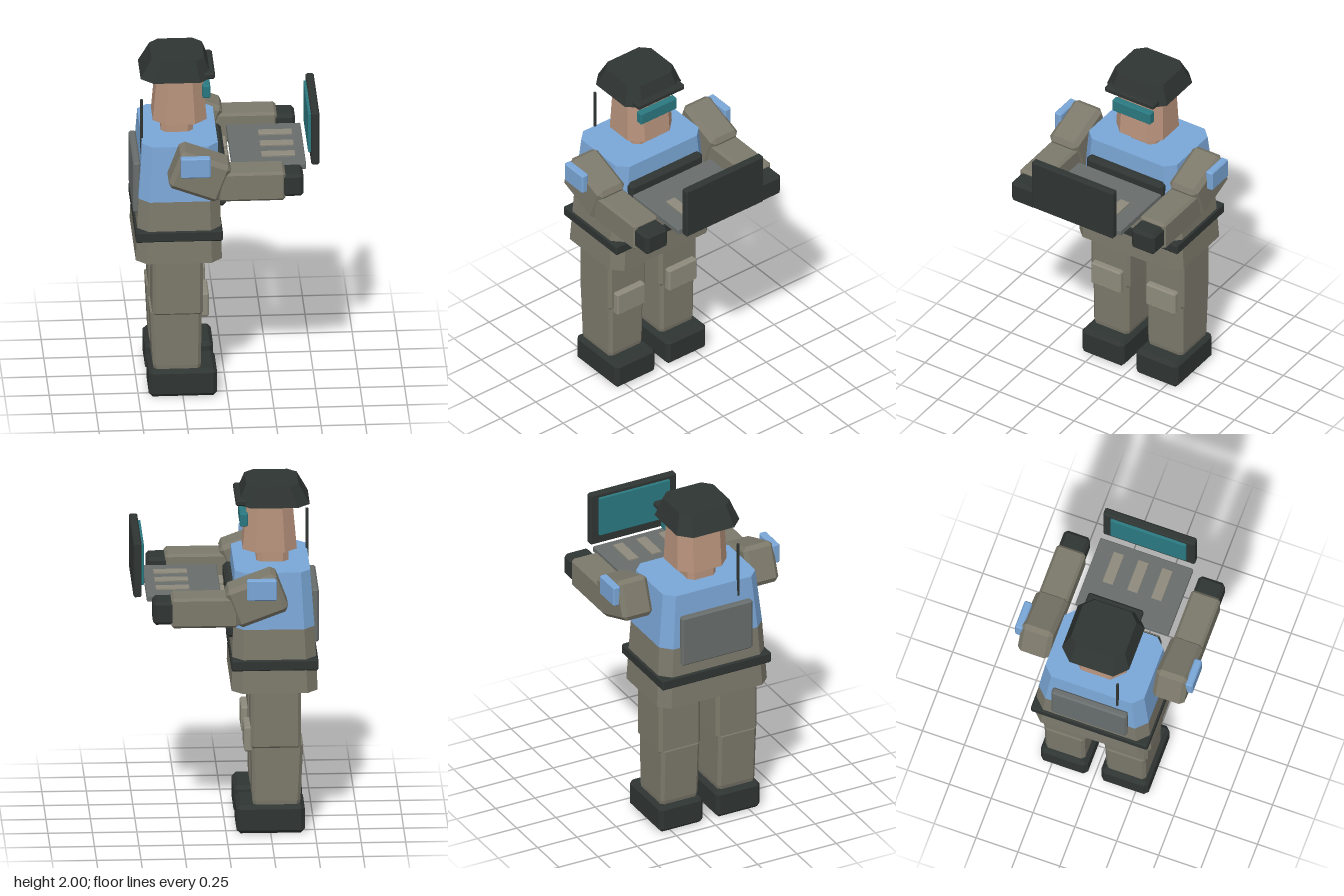
import * as THREE from 'three';
import { ConvexGeometry } from 'three/addons/geometries/ConvexGeometry.js';

const mat = (color) => new THREE.MeshStandardMaterial({ color, flatShading: true });
const cloth = mat(0x7c796b), dark = mat(0x2f3533), blue = mat(0x7aa6d6), skin = mat(0xb8937c);
const teal = mat(0x2a7880), grey = mat(0x686e6d), pouchMat = mat(0x8e8a7c);

// Box between two limits on each axis, with all edges chamfered by c
function bevelBox([x0, x1], [y0, y1], [z0, z1], c) {
  const pts = [];
  for (const i of [0, 1]) for (const j of [0, 1]) for (const k of [0, 1]) {
    const p = [i ? x1 : x0, j ? y1 : y0, k ? z1 : z0];
    const inset = [i ? x1 - c : x0 + c, j ? y1 - c : y0 + c, k ? z1 - c : z0 + c];
    for (let a = 0; a < 3; a++) {
      const q = inset.slice();
      q[a] = p[a];
      pts.push(new THREE.Vector3(...q));
    }
  }
  return new ConvexGeometry(pts);
}

// Tapered block with cut vertical corners; a section is [y, x0, x1, z0, z1, cut]
function taper(...sections) {
  const pts = [];
  for (const [y, x0, x1, z0, z1, c] of sections) {
    for (const [x, sx] of [[x0, 1], [x1, -1]]) for (const [z, sz] of [[z0, 1], [z1, -1]]) {
      pts.push(new THREE.Vector3(x + sx * c, y, z), new THREE.Vector3(x, y, z + sz * c));
    }
  }
  return new ConvexGeometry(pts);
}

export function createModel() {
  const model = new THREE.Group();
  model.name = 'soldierWithConsole';
  const add = (name, geometry, material, parent = model) => {
    const mesh = new THREE.Mesh(geometry, material);
    mesh.name = name;
    parent.add(mesh);
    return mesh;
  };
  const box = (name, x, y, z, c, material, parent) => add(name, bevelBox(x, y, z, c), material, parent);

  // Torso and belt
  add('lowerTorso', taper([0.84, -0.515, -0.03, -0.35, 0.35, 0.06],
    [1.21, -0.498, -0.04, -0.328, 0.328, 0.06]), cloth);
  add('upperTorso', taper([1.21, -0.498, -0.04, -0.328, 0.328, 0.06],
    [1.535, -0.475, -0.05, -0.295, 0.295, 0.055]), blue);
  box('belt', [-0.517, -0.028], [0.97, 1.035], [-0.348, 0.348], 0.008, dark);

  // Neck, head, visor and helmet
  add('neck', taper([1.5, -0.36, -0.18, -0.09, 0.09, 0.03], [1.64, -0.36, -0.18, -0.09, 0.09, 0.03]), skin);
  add('head', taper([1.61, -0.407, -0.103, -0.157, 0.157, 0.07],
    [1.92, -0.38, -0.13, -0.147, 0.147, 0.06]), skin);
  box('visor', [-0.13, -0.085], [1.755, 1.832], [-0.128, 0.128], 0.006, teal);
  add('helmet', taper([1.885, -0.478, -0.075, -0.2, 0.2, 0.07],
    [2.0, -0.415, -0.12, -0.16, 0.16, 0.05]), dark);
  box('helmetBrim', [-0.13, -0.06], [1.886, 1.925], [-0.165, 0.165], 0.01, dark);

  // Back plate and antenna
  box('backPlate', [-0.525, -0.483], [1.1, 1.41], [-0.225, 0.225], 0.01, grey);
  box('antenna', [-0.482, -0.467], [1.2, 1.77], [0.148, 0.163], 0.002, dark);

  // Chest rig with three pouches
  box('chestRig', [-0.065, -0.005], [1.14, 1.43], [-0.255, 0.255], 0.018, dark);
  for (const z of [-0.175, 0, 0.175]) {
    box('chestPouch', [-0.01, 0.025], [1.195, 1.355], [z - 0.06, z + 0.06], 0.008, pouchMat);
  }

  // Console tray, key strips and screen
  box('consoleTray', [0.028, 0.445], [1.37, 1.405], [-0.277, 0.277], 0.004, grey);
  for (const z of [-0.147, 0, 0.143]) {
    box('keyStrip', [0.2, 0.39], [1.395, 1.415], [z - 0.031, z + 0.031], 0.002, pouchMat);
  }
  box('screenFrame', [0.474, 0.52], [1.393, 1.714], [-0.274, 0.274], 0.008, dark);
  box('screenPanel', [0.459, 0.48], [1.45, 1.69], [-0.225, 0.225], 0.003, teal);

  for (const side of [1, -1]) {
    const label = side > 0 ? 'Near' : 'Far';
    const span = (a, b) => (side > 0 ? [a, b] : [-b, -a]);

    // Leg: boot, shin, thigh and knee pad
    const leg = new THREE.Group();
    leg.name = 'leg' + label;
    model.add(leg);
    box('boot', [-0.442, -0.058], [0, 0.167], span(0.04, 0.322), 0.022, dark, leg);
    add('shin', taper([0.165, -0.412, -0.152, ...span(0.067, 0.297), 0.018],
      [0.19, -0.418, -0.148, ...span(0.063, 0.3), 0.018],
      [0.515, -0.434, -0.143, ...span(0.06, 0.302), 0.018]), cloth, leg);
    box('thigh', [-0.422, -0.138], [0.495, 0.9], span(0.05, 0.312), 0.018, cloth, leg);
    box('kneePad', [-0.15, -0.102], [0.475, 0.62], span(0.085, 0.282), 0.008, pouchMat, leg);

    // Arm: sloping upper arm, level forearm, hand and shoulder patch
    const arm = new THREE.Group();
    arm.name = 'arm' + label;
    model.add(arm);
    const upper = box('upperArm', [-0.152, 0.152], [-0.118, 0.118], span(0.307, 0.497), 0.025, cloth, arm);
    upper.position.set(-0.165, 1.43, 0);
    upper.rotation.z = -0.36;
    box('forearm', [-0.06, 0.316], [1.274, 1.45], span(0.316, 0.488), 0.015, cloth, arm);
    box('hand', [0.29, 0.419], [1.293, 1.43], span(0.324, 0.48), 0.018, dark, arm);
    box('shoulderPatch', [-0.275, -0.107], [1.445, 1.566], span(0.485, 0.53), 0.007, blue, arm);
  }
  return model;
}
